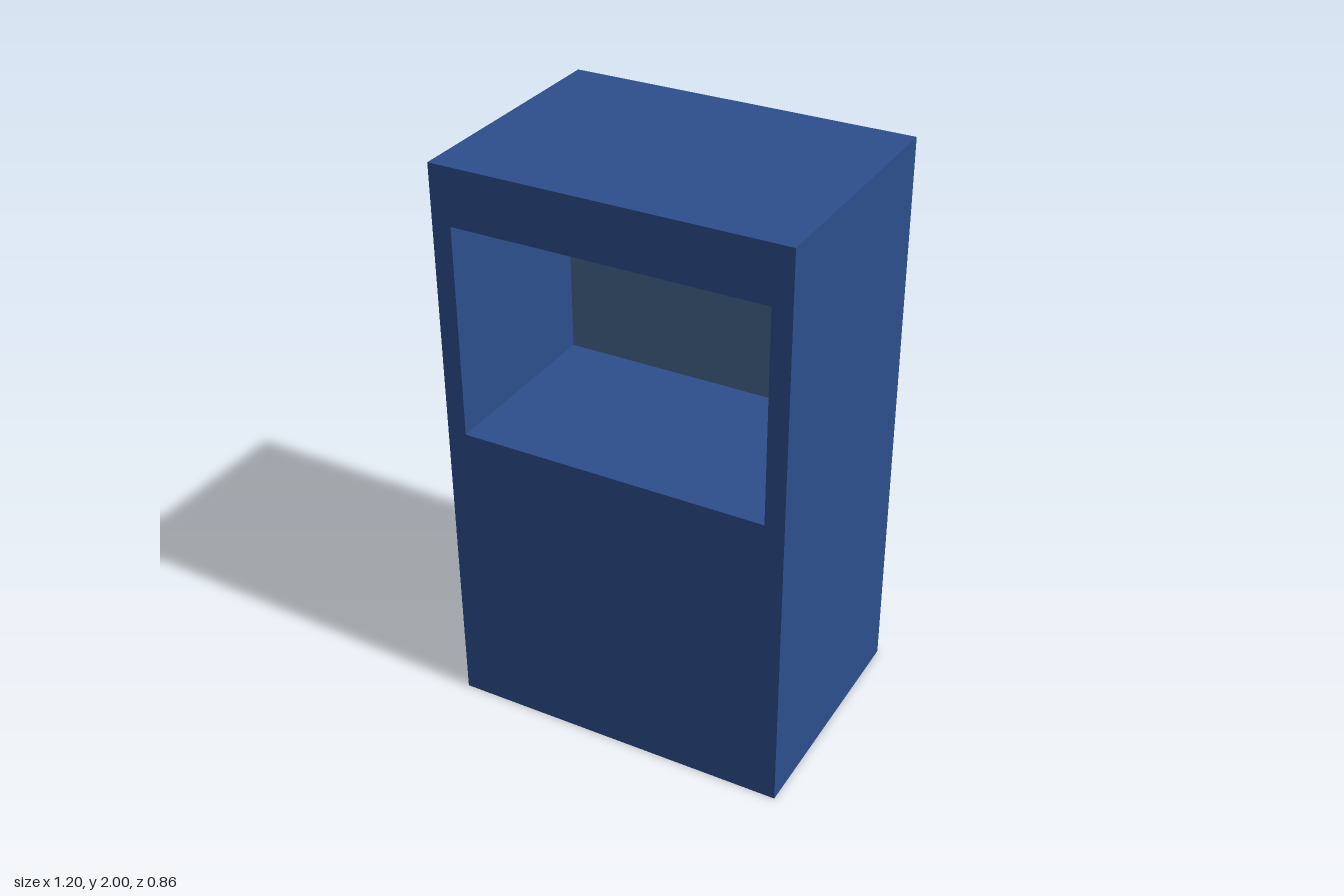
import * as THREE from 'three';

const W = 1.2, H = 2, D = 0.864;                    // cabinet shell
const OW = 1.066, OY0 = 1.07, OY1 = 1.805;          // through opening
const OH = OY1 - OY0, OC = (OY0 + OY1) / 2;

export function createModel() {
  const group = new THREE.Group();
  const blue = new THREE.MeshStandardMaterial({ color: 0x2d4f8e, side: THREE.DoubleSide });
  blue.name = 'cabinet blue';
  const grey = new THREE.MeshStandardMaterial({ color: 0x47678c });
  grey.name = 'screen blue grey';

  const add = (name, geometry, material, position, rotation = [0, 0, 0]) => {
    const mesh = new THREE.Mesh(geometry, material);
    mesh.name = name;
    mesh.position.set(...position);
    mesh.rotation.set(...rotation);
    group.add(mesh);
  };

  // Front and back panels, each with the rectangular opening
  const panel = new THREE.Shape();
  panel.moveTo(-W / 2, 0).lineTo(W / 2, 0).lineTo(W / 2, H).lineTo(-W / 2, H).closePath();
  const hole = new THREE.Path();
  hole.moveTo(-OW / 2, OY0).lineTo(-OW / 2, OY1).lineTo(OW / 2, OY1).lineTo(OW / 2, OY0).closePath();
  panel.holes.push(hole);
  const panelGeometry = new THREE.ShapeGeometry(panel);
  add('frontPanel', panelGeometry, blue, [0, 0, D / 2]);
  add('backPanel', panelGeometry, blue, [0, 0, -D / 2], [0, Math.PI, 0]);

  // Side walls and the side walls of the opening (the underside stays open)
  for (const [side, s] of [['left', 1], ['right', -1]]) {
    add(side + 'Wall', new THREE.PlaneGeometry(D, H), blue, [s * W / 2, H / 2, 0], [0, s * Math.PI / 2, 0]);
    add(side + 'OpeningWall', new THREE.PlaneGeometry(D, OH), blue, [s * OW / 2, OC, 0], [0, -s * Math.PI / 2, 0]);
  }

  // Roof, opening floor and opening ceiling
  add('roof', new THREE.PlaneGeometry(W, D), blue, [0, H, 0], [-Math.PI / 2, 0, 0]);
  add('openingFloor', new THREE.PlaneGeometry(OW, D), blue, [0, OY0, 0], [-Math.PI / 2, 0, 0]);
  add('openingCeiling', new THREE.PlaneGeometry(OW, D), blue, [0, OY1, 0], [Math.PI / 2, 0, 0]);

  // Thick screen set toward the back of the opening
  add('screen', new THREE.BoxGeometry(OW - 0.002, OH - 0.002, 0.13), grey, [0, OC, -0.3]);

  return group;
}
